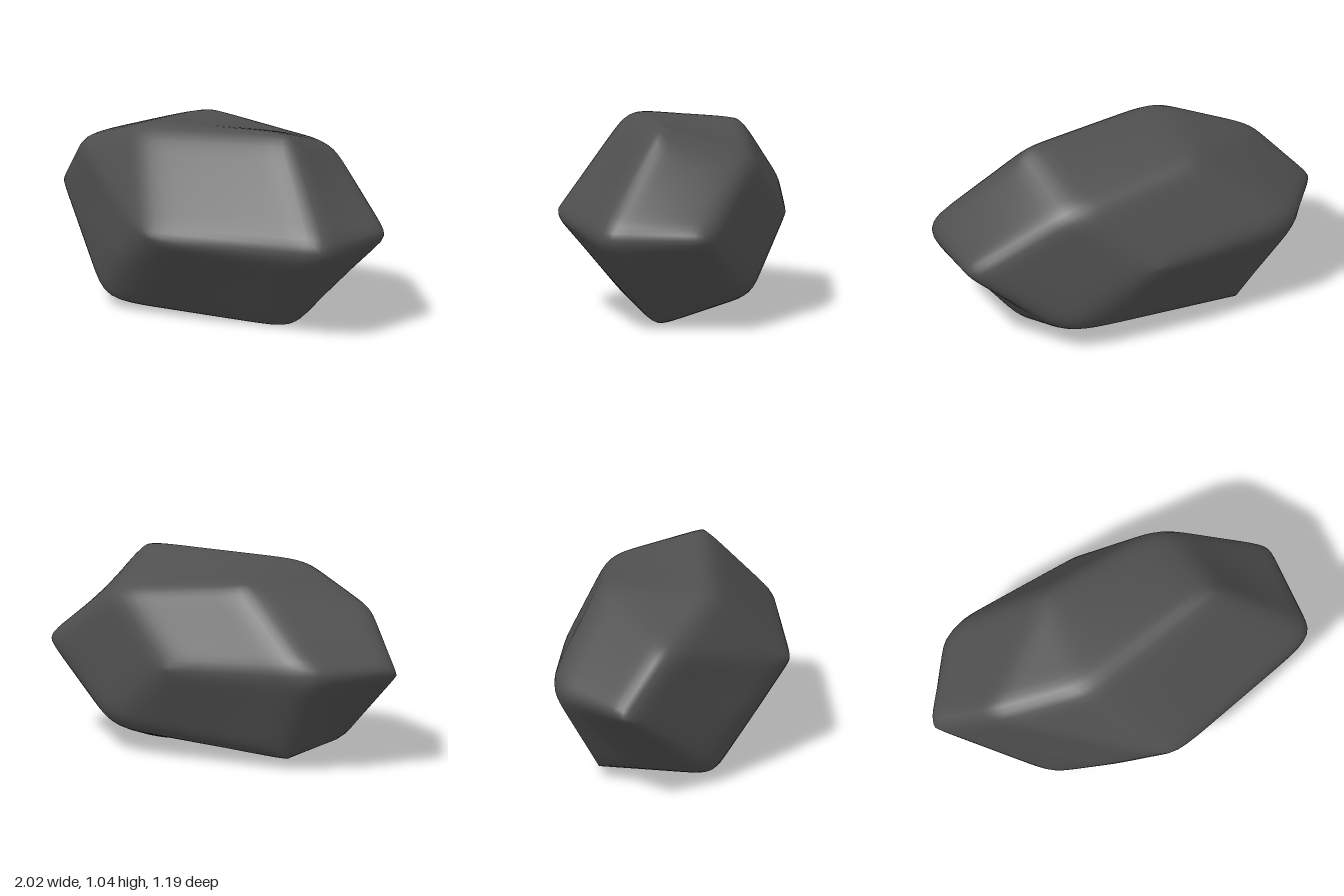
import * as THREE from 'three';
import { mergeVertices } from 'three/addons/utils/BufferGeometryUtils.js';

// Corners of the boulder: an elongated, irregular rhombic dodecahedron
const corners = {
  topFront: [-0.2, 1.0, 0.25], topRight: [0.58, 1.035, 0.01], topBack: [0.45, 0.875, -0.45], topLeft: [-0.24, 0.98, -0.31],
  lowFront: [-0.41, 0.06, 0.28], lowRight: [0.58, 0.025, 0.01], lowBack: [0.45, 0.18, -0.45], lowLeft: [-0.49, 0.07, -0.28],
  front: [0.1, 0.54, 0.595], back: [0.06, 0.54, -0.6],
  endA: [0.985, 0.53, 0.28], endB: [1.0, 0.53, -0.27],
  tip: [-0.99, 0.53, 0.0], tipBack: [-0.71, 0.57, -0.455], shoulder: [-0.73, 0.815, 0.15],
  brow: [-0.14, 0.33, 0.48],
};

const faces = [
  ['topRight', 'topFront', 'topLeft', 'topBack'],
  ['lowRight', 'lowFront', 'lowLeft', 'lowBack'],
  ['endA', 'endB', 'topBack', 'topRight'],
  ['endA', 'endB', 'lowBack', 'lowRight'],
  ['endB', 'topBack', 'back', 'lowBack'],
  ['front', 'endA', 'topRight', 'topFront'],
  ['front', 'endA', 'lowRight', 'brow'],
  ['brow', 'lowRight', 'lowFront'],
  ['back', 'topBack', 'topLeft', 'tipBack'],
  ['back', 'lowBack', 'lowLeft', 'tipBack'],
  ['tip', 'tipBack', 'topLeft', 'shoulder'],
  ['topFront', 'shoulder', 'topLeft'],
  ['topFront', 'shoulder', 'front'],
  ['tip', 'tipBack', 'lowLeft', 'lowFront'],
  ['front', 'shoulder', 'tip', 'brow'],
  ['brow', 'tip', 'lowFront'],
];

const N = 15; // grid steps along each face edge
const CENTRE = new THREE.Vector3(0, 0.53, 0);

// Fill each face with a grid of triangles, turned to face outward
function gridFaces(points) {
  const out = [];
  const tri = (a, b, c) => {
    const n = b.clone().sub(a).cross(c.clone().sub(a));
    const outward = n.dot(a.clone().add(b).add(c).divideScalar(3).sub(CENTRE)) > 0;
    for (const p of outward ? [a, b, c] : [a, c, b]) out.push(p.x, p.y, p.z);
  };
  for (const face of faces) {
    const [a, b, c, d] = face.map((name) => points[name]);
    const at = (i, j) => {
      const u = i / N, v = j / N;
      if (!d) return a.clone().multiplyScalar(1 - u - v).addScaledVector(b, u).addScaledVector(c, v);
      return a.clone().lerp(b, u).lerp(d.clone().lerp(c, u), v);
    };
    for (let i = 0; i < N; i++) {
      for (let j = 0; j < (d ? N : N - i); j++) {
        tri(at(i, j), at(i + 1, j), at(i, j + 1));
        if (d || i + j < N - 1) tri(at(i + 1, j), at(i + 1, j + 1), at(i, j + 1));
      }
    }
  }
  const geometry = new THREE.BufferGeometry();
  geometry.setAttribute('position', new THREE.Float32BufferAttribute(out, 3));
  return mergeVertices(geometry, 1e-4);
}

// Round the edges by moving every vertex toward its neighbours
function relax(geometry, passes) {
  const pos = geometry.attributes.position, index = geometry.index.array;
  const near = Array.from({ length: pos.count }, () => new Set());
  for (let t = 0; t < index.length; t += 3) {
    for (let k = 0; k < 3; k++) {
      const a = index[t + k], b = index[t + (k + 1) % 3];
      near[a].add(b);
      near[b].add(a);
    }
  }
  const p = new THREE.Vector3();
  for (let pass = 0; pass < passes; pass++) {
    const moved = near.map((set, i) => {
      const mean = new THREE.Vector3();
      for (const k of set) mean.add(p.fromBufferAttribute(pos, k));
      mean.divideScalar(set.size);
      return p.fromBufferAttribute(pos, i).clone().lerp(mean, 0.7);
    });
    moved.forEach((v, i) => pos.setXYZ(i, v.x, v.y, v.z));
  }
}

function boulderGeometry() {
  const target = {}, points = {};
  for (const name in corners) {
    target[name] = new THREE.Vector3(...corners[name]);
    points[name] = target[name].clone();
  }
  let geometry;
  const p = new THREE.Vector3();
  // Push the corners out until the rounded ones land in place
  for (let round = 0; round < 3; round++) {
    geometry = gridFaces(points);
    const before = geometry.attributes.position.clone();
    relax(geometry, 6);
    if (round === 2) break;
    for (const name in points) {
      let best = 0, bestD = Infinity;
      for (let i = 0; i < before.count; i++) {
        const dist = p.fromBufferAttribute(before, i).distanceToSquared(points[name]);
        if (dist < bestD) { bestD = dist; best = i; }
      }
      p.fromBufferAttribute(geometry.attributes.position, best);
      points[name].addScaledVector(target[name].clone().sub(p), 0.8);
    }
  }
  // Centre it and stand it on the ground
  geometry.computeBoundingBox();
  const mid = geometry.boundingBox.getCenter(new THREE.Vector3());
  geometry.translate(-mid.x, -geometry.boundingBox.min.y, -mid.z);
  geometry.computeVertexNormals();
  return geometry;
}

export function createModel() {
  const stone = new THREE.MeshStandardMaterial({ color: 0x505050 });
  stone.name = 'dark stone';
  const boulder = new THREE.Mesh(boulderGeometry(), stone);
  boulder.name = 'boulder';
  const group = new THREE.Group();
  group.name = 'rock';
  group.add(boulder);
  return group;
}
